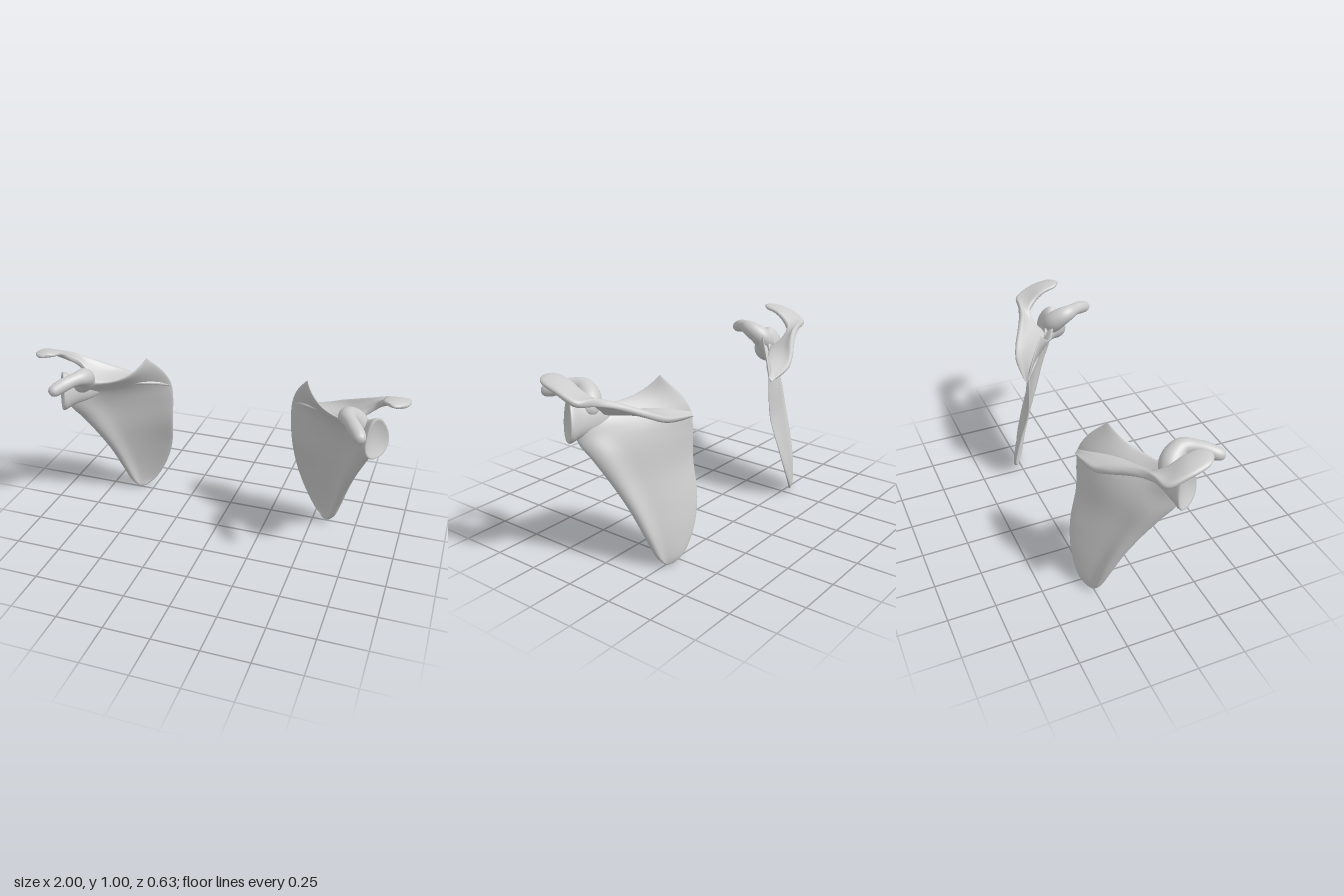
import * as THREE from 'three';
import { mergeVertices } from 'three/addons/utils/BufferGeometryUtils.js';

const V = (x, y, z) => new THREE.Vector3(x, y, z);
const bump = (t, c, w) => Math.exp(-(((t - c) / w) ** 2));
const spaced = (k, n) => (1 - Math.cos((Math.PI * k) / n)) / 2;

// Smooth surface through a list of closed rings of points
function skin(rings) {
  const n = rings[0].length, pos = [], index = [];
  rings.forEach((ring) => ring.forEach((p) => pos.push(p.x, p.y, p.z)));
  for (let r = 0; r < rings.length - 1; r++) {
    for (let k = 0; k < n; k++) {
      const a = r * n + k, b = r * n + ((k + 1) % n);
      index.push(a, b, a + n, b, b + n, a + n);
    }
  }
  let geo = new THREE.BufferGeometry();
  geo.setAttribute('position', new THREE.Float32BufferAttribute(pos, 3));
  geo.setIndex(index);
  geo = mergeVertices(geo, 1e-5);
  geo.computeVertexNormals();
  return geo;
}

// Curved plate: each station is [edge, middle, edge]; thick(u, v) is half the thickness
function plate(stations, thick, nu = 44, nv = 80) {
  const [A, B, C] = [0, 1, 2].map(
    (i) => new THREE.CatmullRomCurve3(stations.map((s) => V(...s[i]))));
  const at = (u, v) => A.getPoint(v).multiplyScalar((1 - u) * (1 - 2 * u))
    .addScaledVector(B.getPoint(v), 4 * u * (1 - u))
    .addScaledVector(C.getPoint(v), u * (2 * u - 1));
  const rings = [];
  for (let j = 0; j <= nv; j++) {
    const v = spaced(j, nv), front = [], back = [];
    const v0 = Math.max(0, v - 0.01), v1 = Math.min(1, v + 0.01);
    for (let k = 0; k <= nu; k++) {
      const u = spaced(k, nu), p = at(u, v);
      const du = at(Math.min(1, u + 0.02), v).sub(at(Math.max(0, u - 0.02), v));
      const normal = du.cross(at(u, v1).sub(at(u, v0))).normalize();
      const round = Math.sqrt(Math.max(0, 1 - Math.abs(2 * u - 1) ** 8))
        * Math.sqrt(Math.max(0, 1 - Math.abs(2 * v - 1) ** 24));
      const h = thick(u, v) * round;
      front.push(p.clone().addScaledVector(normal, h));
      if (k > 0 && k < nu) back.unshift(p.clone().addScaledVector(normal, -h));
    }
    rings.push([...front, ...back]);
  }
  return skin(rings);
}

// Blade, from the lower tip up: inner border, middle, outer border
function bladeGeometry() {
  return plate([
    [[0.55, 0.008, -0.268], [0.57, 0, -0.26], [0.595, 0.008, -0.25]],
    [[0.5, 0.05, -0.297], [0.56, 0.045, -0.272], [0.625, 0.05, -0.225]],
    [[0.43, 0.17, -0.308], [0.55, 0.16, -0.262], [0.665, 0.16, -0.19]],
    [[0.38, 0.32, -0.29], [0.55, 0.3, -0.23], [0.705, 0.3, -0.135]],
    [[0.355, 0.5, -0.245], [0.56, 0.46, -0.185], [0.752, 0.44, -0.065]],
    [[0.345, 0.65, -0.237], [0.58, 0.62, -0.145], [0.805, 0.57, 0.005]],
    [[0.352, 0.74, -0.23], [0.6, 0.7, -0.105], [0.84, 0.66, 0.06]],
    [[0.385, 0.83, -0.19], [0.6, 0.76, -0.065], [0.84, 0.75, 0.07]],
    [[0.45, 0.925, -0.12], [0.58, 0.82, -0.012], [0.8, 0.83, 0.08]],
  ], (u, v) => 0.009 + 0.022 * bump(u, 0.92, 0.13) * Math.max(0, Math.sin(Math.PI * v)) ** 0.6);
}

// Spine ridge widening into the overhanging acromion
function spineGeometry() {
  return plate([
    [[0.352, 0.735, -0.232], [0.352, 0.723, -0.238], [0.352, 0.71, -0.242]],
    [[0.45, 0.76, -0.15], [0.45, 0.745, -0.205], [0.45, 0.72, -0.243]],
    [[0.55, 0.77, -0.09], [0.55, 0.765, -0.17], [0.55, 0.745, -0.238]],
    [[0.64, 0.775, -0.04], [0.635, 0.785, -0.135], [0.63, 0.79, -0.21]],
    [[0.72, 0.785, -0.005], [0.72, 0.81, -0.09], [0.72, 0.84, -0.16]],
    [[0.78, 0.825, -0.04], [0.79, 0.85, -0.085], [0.8, 0.875, -0.12]],
    [[0.83, 0.875, -0.045], [0.85, 0.885, -0.07], [0.88, 0.895, -0.1]],
    [[0.86, 0.925, 0], [0.92, 0.918, -0.03], [0.972, 0.905, -0.08]],
    [[0.868, 0.962, 0.06], [0.935, 0.962, 0.04], [0.997, 0.945, 0.02]],
    [[0.875, 0.98, 0.13], [0.935, 0.984, 0.12], [0.985, 0.968, 0.12]],
    [[0.91, 0.983, 0.16], [0.93, 0.981, 0.168], [0.955, 0.976, 0.158]],
  ], (u, v) => 0.011 + 0.009 * bump(u, 0.95, 0.2) * (1 - v) + 0.006 * bump(v, 0.6, 0.25));
}

// Neck and shallow pear-shaped joint socket
function socketGeometry() {
  const n = V(0.83, 0.08, 0.55).normalize();
  const up = V(-0.1, 1, 0).projectOnPlane(n).normalize();
  const side = up.clone().cross(n);
  const centre = V(0.862, 0.765, 0.098);
  // depth along the axis, height scale, width scale
  const profile = [[-0.2, 0.3, 0.05], [-0.14, 0.55, 0.3], [-0.09, 0.68, 0.46], [-0.05, 0.82, 0.68],
    [-0.02, 0.97, 0.94], [-0.006, 1, 1], [0, 0.96, 0.95], [-0.004, 0.88, 0.87],
    [-0.012, 0.65, 0.65], [-0.018, 0.35, 0.35], [-0.02, 0, 0]];
  return skin(profile.map(([d, h, w]) => Array.from({ length: 40 }, (_, k) => {
    const a = (k / 40) * Math.PI * 2, s = Math.sin(a);
    return centre.clone().addScaledVector(n, d).addScaledVector(up, 0.11 * h * s)
      .addScaledVector(side, Math.cos(a) * (0.085 - 0.022 * s) * w);
  })));
}

// Coracoid hook with a rounded tip
function coracoidGeometry() {
  const path = new THREE.CatmullRomCurve3([V(0.79, 0.77, 0.04), V(0.73, 0.845, 0.08),
    V(0.712, 0.882, 0.14), V(0.75, 0.882, 0.215), V(0.795, 0.86, 0.28), V(0.81, 0.85, 0.317)]);
  const radius = new THREE.SplineCurve([[0, 0.05], [0.2, 0.058], [0.4, 0.05], [0.6, 0.036],
    [0.8, 0.036], [1, 0.034]].map((p) => new THREE.Vector2(...p)));
  const steps = 48, frames = path.computeFrenetFrames(steps);
  return skin(Array.from({ length: steps + 1 }, (_, i) => {
    const t = i / steps, c = path.getPointAt(t);
    const r = radius.getPoint(t).y * Math.sqrt(1 - Math.abs(2 * t - 1) ** 10);
    return Array.from({ length: 28 }, (_, k) => {
      const a = (k / 28) * Math.PI * 2;
      return c.clone().addScaledVector(frames.normals[i], r * Math.cos(a))
        .addScaledVector(frames.binormals[i], r * Math.sin(a));
    });
  }));
}

// Copy across the x = 0 plane, keeping faces outward
function mirrored(geo) {
  const g = geo.clone().scale(-1, 1, 1), idx = g.index.array;
  for (let i = 0; i < idx.length; i += 3) [idx[i], idx[i + 1]] = [idx[i + 1], idx[i]];
  g.computeVertexNormals();
  return g;
}

export function createModel() {
  const model = new THREE.Group();
  model.name = 'shoulderBlades';
  const material = new THREE.MeshStandardMaterial({ color: 0xcccccc });
  const parts = {
    blade: bladeGeometry(),
    spineAndAcromion: spineGeometry(),
    jointSocket: socketGeometry(),
    coracoidHook: coracoidGeometry(),
  };
  for (const sideName of ['left', 'right']) {
    const bone = new THREE.Group();
    bone.name = `${sideName}ShoulderBlade`;
    for (const [name, geo] of Object.entries(parts)) {
      const mesh = new THREE.Mesh(sideName === 'left' ? geo : mirrored(geo), material);
      mesh.name = name;
      bone.add(mesh);
    }
    model.add(bone);
  }
  return model;
}
